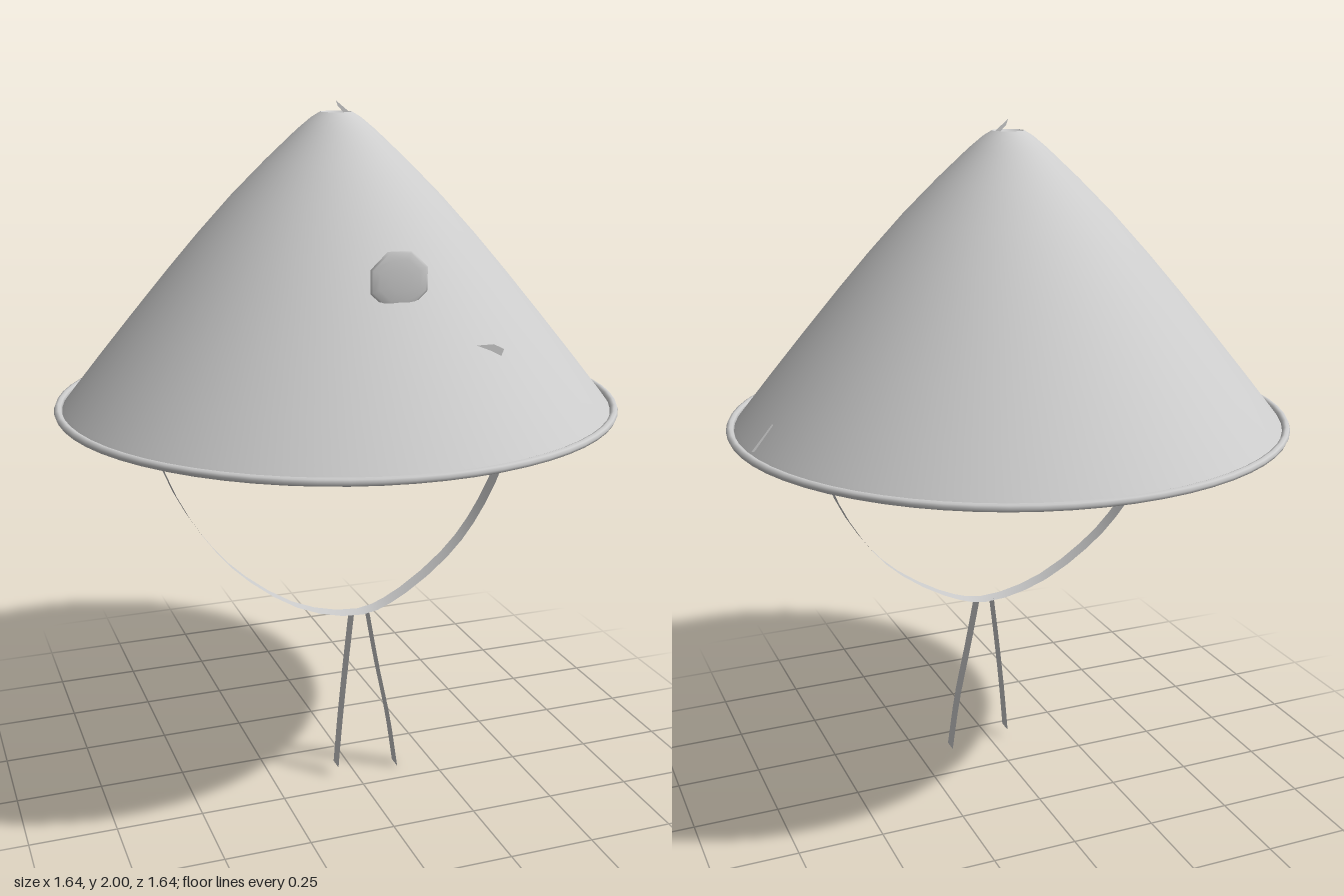
import * as THREE from 'three';

const grey = new THREE.MeshStandardMaterial({ color: 0xcccccc, side: THREE.DoubleSide });
grey.name = 'plain grey';

const v3 = (p) => new THREE.Vector3(...p);

function add(group, name, geometry) {
  const mesh = new THREE.Mesh(geometry, grey);
  mesh.name = name;
  group.add(mesh);
  return mesh;
}

// Flat ribbon following a smooth path, its width laid along the given axis
function ribbon(points, width, axis, steps = 16) {
  const curve = new THREE.CatmullRomCurve3(points.map(v3));
  const half = v3(axis).normalize().multiplyScalar(width / 2);
  const pos = [], index = [];
  curve.getPoints(steps).forEach((p, i) => {
    pos.push(...p.clone().add(half).toArray(), ...p.clone().sub(half).toArray());
    if (i < steps) {
      const a = i * 2;
      index.push(a, a + 1, a + 2, a + 1, a + 3, a + 2);
    }
  });
  const g = new THREE.BufferGeometry();
  g.setAttribute('position', new THREE.Float32BufferAttribute(pos, 3));
  g.setIndex(index);
  g.computeVertexNormals();
  return g;
}

// Flat outline standing in the plane at depth z
function plate(outline, z) {
  const shape = new THREE.Shape(outline.map(([x, y]) => new THREE.Vector2(x, y)));
  return new THREE.ShapeGeometry(shape).translate(0, 0, z);
}

export function createModel() {
  const model = new THREE.Group();
  model.name = 'conicalHat';

  // Thin, slightly convex crown
  const profile = [
    [0.8, 1.14], [0.785, 1.16], [0.7, 1.267], [0.6, 1.39], [0.49, 1.523],
    [0.4, 1.628], [0.3, 1.738], [0.2, 1.838], [0.11, 1.922], [0.07, 1.955], [0.045, 1.97],
  ].map(([r, y]) => new THREE.Vector2(r, y));
  add(model, 'crown', new THREE.LatheGeometry(profile, 64));

  // Small sunken cap at the peak
  const cap = [[0.045, 1.97], [0.025, 1.957], [0, 1.95]].map(([r, y]) => new THREE.Vector2(r, y));
  add(model, 'peakCap', new THREE.LatheGeometry(cap, 32));

  // Binding round the brim
  const rim = add(model, 'brimBinding',
    new THREE.TorusGeometry(0.807, 0.0115, 8, 64).rotateX(Math.PI / 2));
  rim.position.y = 1.146;

  // Chin strap: a U slung between the two sides of the crown
  const arm = [
    [0.6, 1.37, 0.005], [0.58, 1.17, 0.035], [0.53, 0.97, 0.065],
    [0.44, 0.8, 0.09], [0.33, 0.67, 0.108], [0.15, 0.55, 0.127],
  ];
  const mirrored = arm.map(([x, y, z]) => [-x, y, z]).reverse();
  add(model, 'chinStrap', ribbon([...arm, [0.03, 0.513, 0.133], ...mirrored], 0.05, [0, 0, 1], 32));

  // Two loose tails below the knot
  const tails = {
    leftTail: [[0.05, 0.515, 0.138], [0.075, 0.35, 0.155], [0.11, 0.17, 0.163], [0.137, 0, 0.16]],
    rightTail: [[0.0, 0.515, 0.138], [-0.025, 0.35, 0.155], [-0.045, 0.18, 0.163], [-0.056, 0.03, 0.16]],
  };
  for (const [name, points] of Object.entries(tails)) {
    add(model, name, ribbon(points, 0.045, [0, 0, 1], 8));
  }

  // Flower: shallow disc on the front, partly sunk into the crown
  const disc = new THREE.SphereGeometry(0.085, 8, 4, 0, Math.PI * 2, 0, Math.PI / 2)
    .rotateX(Math.PI / 2).rotateZ(Math.PI / 8).scale(1, 0.95, 0.12);
  add(model, 'flower', disc).position.set(0, 1.575, 0.487);

  // Stem running down inside the crown, and a leaf pushed through it
  add(model, 'stem', ribbon([[-0.05, 1.51, 0.49], [0.1, 1.33, 0.505], [0.24, 1.15, 0.515]],
    0.014, [0.78, 0.63, 0], 6));
  add(model, 'leaf', plate([
    [0.1, 1.37], [0.18, 1.405], [0.24, 1.405], [0.27, 1.39],
    [0.262, 1.372], [0.2, 1.345], [0.13, 1.31],
  ], 0.555));

  // Loose straw slivers at the brim and the peak
  add(model, 'brimSliver', plate([[0.727, 1.23], [0.715, 1.2], [0.76, 1.16], [0.788, 1.158]], 0))
    .position.z = -0.1;
  add(model, 'peakSliver', plate([[0, 2], [0.005, 1.985], [0.025, 1.965], [0.04, 1.968]], 0));

  return model;
}
